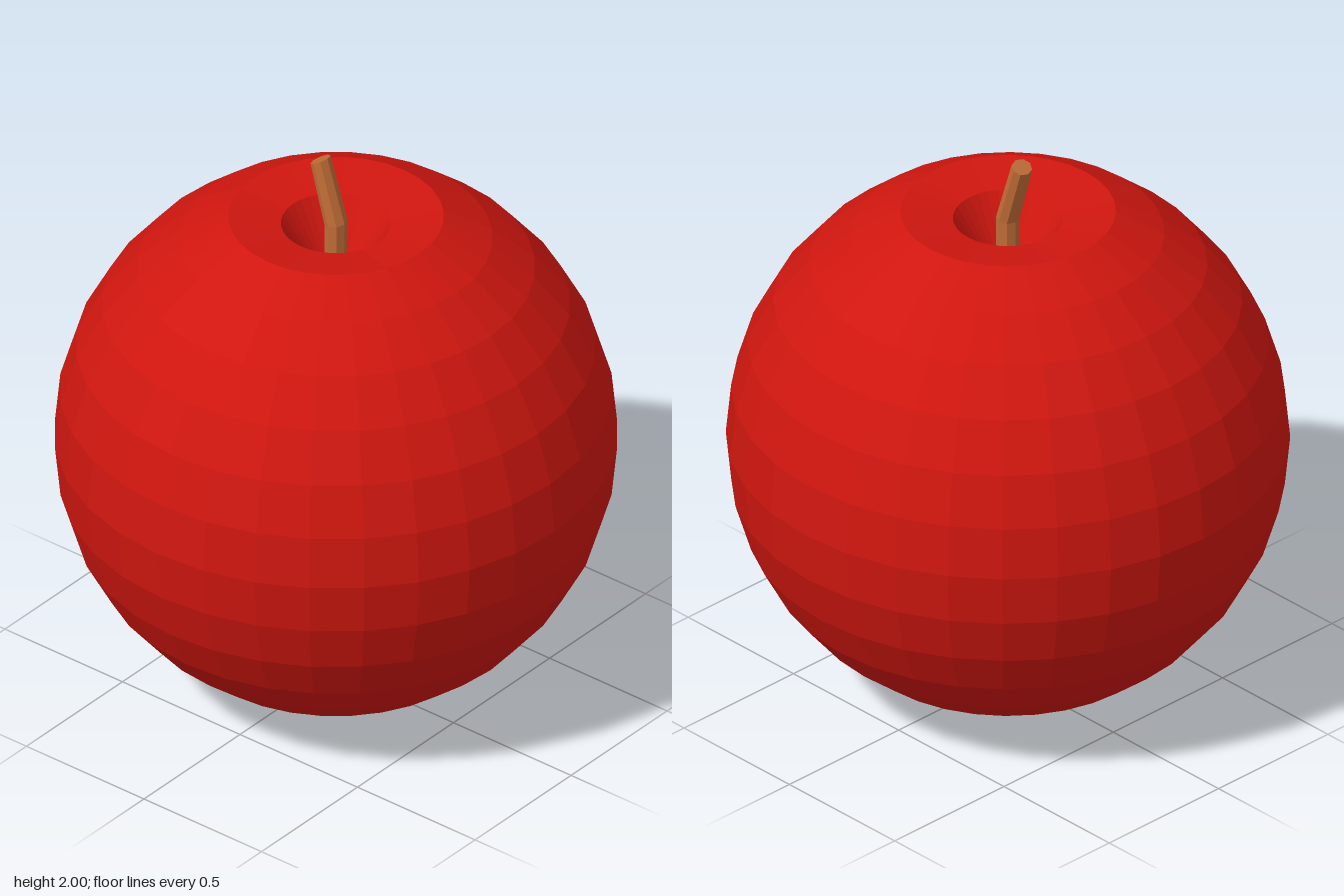
import * as THREE from 'three';

const R = 0.93;

// Faceted round fruit with a sunken hollow at the top
function makeBody() {
  const profile = [];
  for (let i = 0; i <= 14; i++) {
    const a = (i / 16) * Math.PI;
    profile.push(new THREE.Vector2(R * Math.sin(a), R - R * Math.cos(a)));
  }
  profile.push(new THREE.Vector2(0.182, 1.762)); // lip of the hollow
  profile.push(new THREE.Vector2(0, 1.47)); // bottom of the hollow
  const material = new THREE.MeshStandardMaterial({ color: 0xcf160f, flatShading: true });
  const body = new THREE.Mesh(new THREE.LatheGeometry(profile, 32), material);
  body.name = 'fruitBody';
  return body;
}

// Stalk: upright below, bent towards the back above
function makeStem() {
  const sides = 8;
  const rings = [
    { y: 1.46, z: 0, r: 0.042, tilt: 0 },
    { y: 1.765, z: 0, r: 0.042, tilt: 0.15 },
    { y: 1.985, z: -0.066, r: 0.038, tilt: 0.46 },
  ];
  const geometry = new THREE.CylinderGeometry(1, 1, 1, sides, rings.length - 1);
  const pos = geometry.attributes.position;
  for (let i = 0; i < pos.count; i++) {
    const ring = rings[Math.round((pos.getY(i) + 0.5) * (rings.length - 1))];
    const x = pos.getX(i) * ring.r;
    const d = pos.getZ(i) * ring.r * 0.87;
    pos.setXYZ(i, x, ring.y + d * Math.sin(ring.tilt), ring.z + d * Math.cos(ring.tilt));
  }
  geometry.computeVertexNormals();
  const material = new THREE.MeshStandardMaterial({ color: 0xc06c36, flatShading: true });
  const stem = new THREE.Mesh(geometry, material);
  stem.name = 'stem';
  return stem;
}

export function createModel() {
  const model = new THREE.Group();
  model.name = 'apple';
  model.add(makeBody(), makeStem());
  return model;
}
